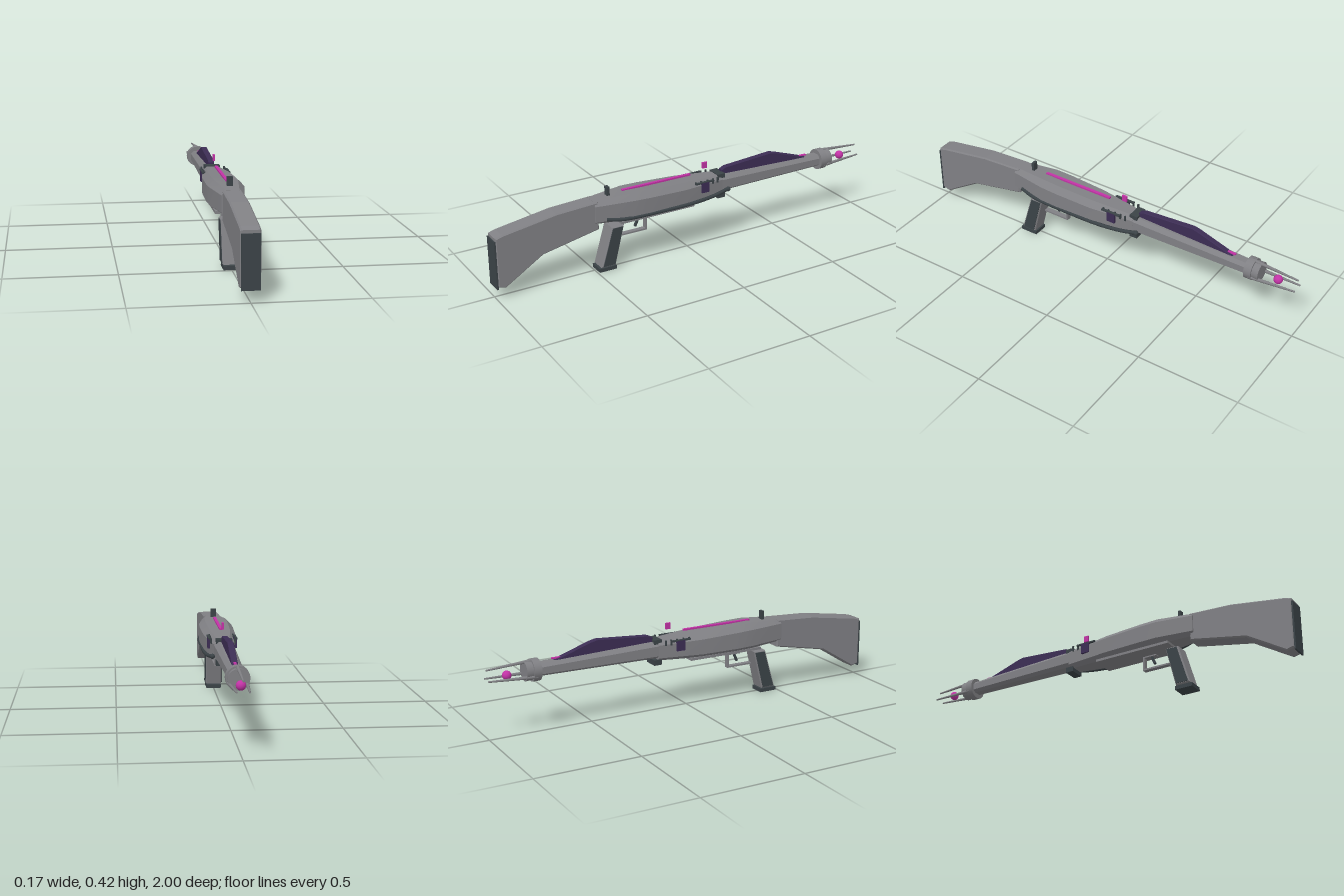
import * as THREE from 'three';
import { toCreasedNormals } from 'three/addons/utils/BufferGeometryUtils.js';

const mat = (name, color) => {
  const m = new THREE.MeshStandardMaterial({ color });
  m.name = name;
  return m;
};

// Chamfered eight-sided loft along z; stations run from +z to -z: [z, halfWidth, bottom, top, chamfer]
function loft(stations) {
  const rings = stations.map(([z, w, b, t, c]) => [
    [w - c, b], [w, b + c * 0.75], [w, t - c], [w - c, t],
    [c - w, t], [-w, t - c], [-w, b + c * 0.75], [c - w, b],
  ].map(([x, y]) => [x, y, z]));
  const pos = [];
  const tri = (a, b, c) => pos.push(...a, ...b, ...c);
  for (let s = 0; s < rings.length - 1; s++) {
    for (let i = 0; i < 8; i++) {
      const j = (i + 1) % 8, p = rings[s], q = rings[s + 1];
      tri(p[i], q[i], q[j]);
      tri(p[i], q[j], p[j]);
    }
  }
  const first = rings[0], last = rings[rings.length - 1];
  for (let i = 1; i < 7; i++) {
    tri(first[0], first[i], first[i + 1]);
    tri(last[0], last[i + 1], last[i]);
  }
  const g = new THREE.BufferGeometry();
  g.setAttribute('position', new THREE.Float32BufferAttribute(pos, 3));
  return toCreasedNormals(g, 0.35);
}

// Side outline given as [z, y], extruded across x with a small bevel
function sidePlate(points, halfWidth, bevel = 0) {
  const shape = new THREE.Shape(points.map(([z, y]) => new THREE.Vector2(-z, y)));
  const g = new THREE.ExtrudeGeometry(shape, {
    depth: 2 * (halfWidth - bevel), bevelEnabled: bevel > 0, bevelSegments: 1,
    bevelSize: bevel, bevelThickness: bevel, bevelOffset: -bevel,
  });
  g.translate(0, 0, bevel - halfWidth);
  return g.rotateY(Math.PI / 2);
}

export function createModel() {
  const model = new THREE.Group();
  const grey = mat('gunGrey', 0x808084);
  const slate = mat('darkSlate', 0x3b4347);
  const purple = mat('deepPurple', 0x3c2d54);
  const magenta = mat('glowMagenta', 0xc233a6);

  const add = (name, geo, material, x = 0, y = 0, z = 0) => {
    const m = new THREE.Mesh(geo, material);
    m.name = name;
    m.position.set(x, y, z);
    model.add(m);
    return m;
  };
  const box = (name, material, w, h, d, x, y, z) =>
    add(name, new THREE.BoxGeometry(w, h, d), material, x, y, z);

  // Stock and butt plate
  add('stock', sidePlate([
    [0.994, 0.3], [0.96, 0.31], [0.7, 0.351], [0.49, 0.362],
    [0.49, 0.224], [0.77, 0.168], [0.957, 0.052], [0.994, 0.062],
  ], 0.043, 0.006), grey);
  box('buttPlate', slate, 0.08, 0.235, 0.008, 0, 0.169, 0.996);

  // Receiver and barrel
  add('receiver', loft([
    [0.51, 0.05, 0.25, 0.362, 0.02],
    [0.33, 0.08, 0.242, 0.371, 0.028],
    [0.24, 0.082, 0.24, 0.368, 0.028],
    [0.05, 0.076, 0.24, 0.36, 0.027],
    [-0.17, 0.046, 0.25, 0.347, 0.02],
  ]), grey);
  box('bellyPlate', grey, 0.12, 0.012, 0.39, 0, 0.238, 0.19);
  add('barrel', loft([
    [-0.165, 0.046, 0.262, 0.342, 0.018],
    [-0.77, 0.033, 0.266, 0.323, 0.015],
  ]), grey);

  // Clamp between receiver and barrel
  box('clampTop', slate, 0.075, 0.032, 0.04, 0, 0.337, -0.17);
  box('clampBottom', slate, 0.075, 0.026, 0.04, 0, 0.243, -0.17);

  // Muzzle rings
  const ring = (r0, r1, len, z) => {
    const g = new THREE.CylinderGeometry(r0, r1, len, 20).rotateX(-Math.PI / 2);
    add('muzzleRing', g, grey, 0, 0.294, z);
  };
  ring(0.046, 0.044, 0.035, -0.807);
  ring(0.052, 0.052, 0.036, -0.774);

  // Three prongs converging around the orb
  for (let i = 0; i < 3; i++) {
    const a = Math.PI / 2 + (i * Math.PI * 2) / 3;
    const at = (r, z) => new THREE.Vector3(Math.cos(a) * r, 0.294 + Math.sin(a) * r, z);
    const from = at(0.045, -0.775), to = at(0.03, -1);
    const dir = to.clone().sub(from);
    const p = add('prong', new THREE.CylinderGeometry(0.004, 0.009, dir.length(), 8), grey);
    p.position.copy(from).add(to).multiplyScalar(0.5);
    p.quaternion.setFromUnitVectors(new THREE.Vector3(0, 1, 0), dir.normalize());
  }
  add('orb', new THREE.SphereGeometry(0.021, 20, 14), magenta, 0, 0.288, -0.905);

  // Fin over the barrel and glowing strips
  add('fin', sidePlate([
    [-0.185, 0.33], [-0.185, 0.362], [-0.21, 0.373], [-0.47, 0.392],
    [-0.5, 0.385], [-0.68, 0.326], [-0.68, 0.316],
  ], 0.014, 0.003), purple);
  box('barrelStrip', magenta, 0.012, 0.006, 0.16, 0, 0.333, -0.61);
  box('receiverStrip', magenta, 0.014, 0.008, 0.365, 0, 0.372, 0.167);

  // Sights
  box('rearSight', slate, 0.026, 0.042, 0.014, 0, 0.387, 0.424);
  box('frontSight', magenta, 0.009, 0.03, 0.025, 0, 0.402, -0.097);

  // Matching side fittings
  for (const s of [-1, 1]) {
    box('sideModule', purple, 0.016, 0.05, 0.042, s * 0.061, 0.318, -0.063);
    box('sideRail', slate, 0.012, 0.007, 0.1, s * 0.062, 0.343, -0.06);
    for (const z of [-0.015, -0.045, -0.08, -0.11, -0.137])
      box('railPin', slate, 0.007, 0.026, 0.007, s * 0.056, 0.337, z);
  }

  // Bent rod along the left side
  const rod = new THREE.CatmullRomCurve3([
    [0.058, 0.272, 0.46], [0.074, 0.262, 0.38], [0.078, 0.258, 0.2],
    [0.075, 0.258, 0], [0.066, 0.266, -0.12], [0.054, 0.278, -0.2],
  ].map((p) => new THREE.Vector3(...p)));
  add('sideRod', new THREE.TubeGeometry(rod, 32, 0.009, 8), slate);
  add('rodKnob', new THREE.SphereGeometry(0.012, 10, 8), slate, 0.056, 0.277, -0.197);

  // Grip with dark side panels and foot
  const gripOutline = [[0.425, 0.216], [0.36, 0.216], [0.408, 0.022], [0.482, 0.022]];
  add('grip', sidePlate(gripOutline, 0.04, 0.005), grey);
  for (const s of [-1, 1]) {
    const panel = sidePlate([[0.419, 0.21], [0.367, 0.21], [0.413, 0.028], [0.473, 0.028]], 0.003);
    add('gripPanel', panel, slate, s * 0.04);
  }
  box('gripFoot', slate, 0.074, 0.018, 0.088, 0, 0.009, 0.447);

  // Trigger guard and trigger
  box('guardBottom', grey, 0.024, 0.008, 0.135, 0, 0.152, 0.293);
  box('guardFront', grey, 0.024, 0.068, 0.008, 0, 0.182, 0.229);
  box('guardTop', grey, 0.024, 0.006, 0.07, 0, 0.215, 0.26);
  box('trigger', slate, 0.012, 0.045, 0.01, 0, 0.195, 0.275).rotation.x = -0.4;

  return model;
}
